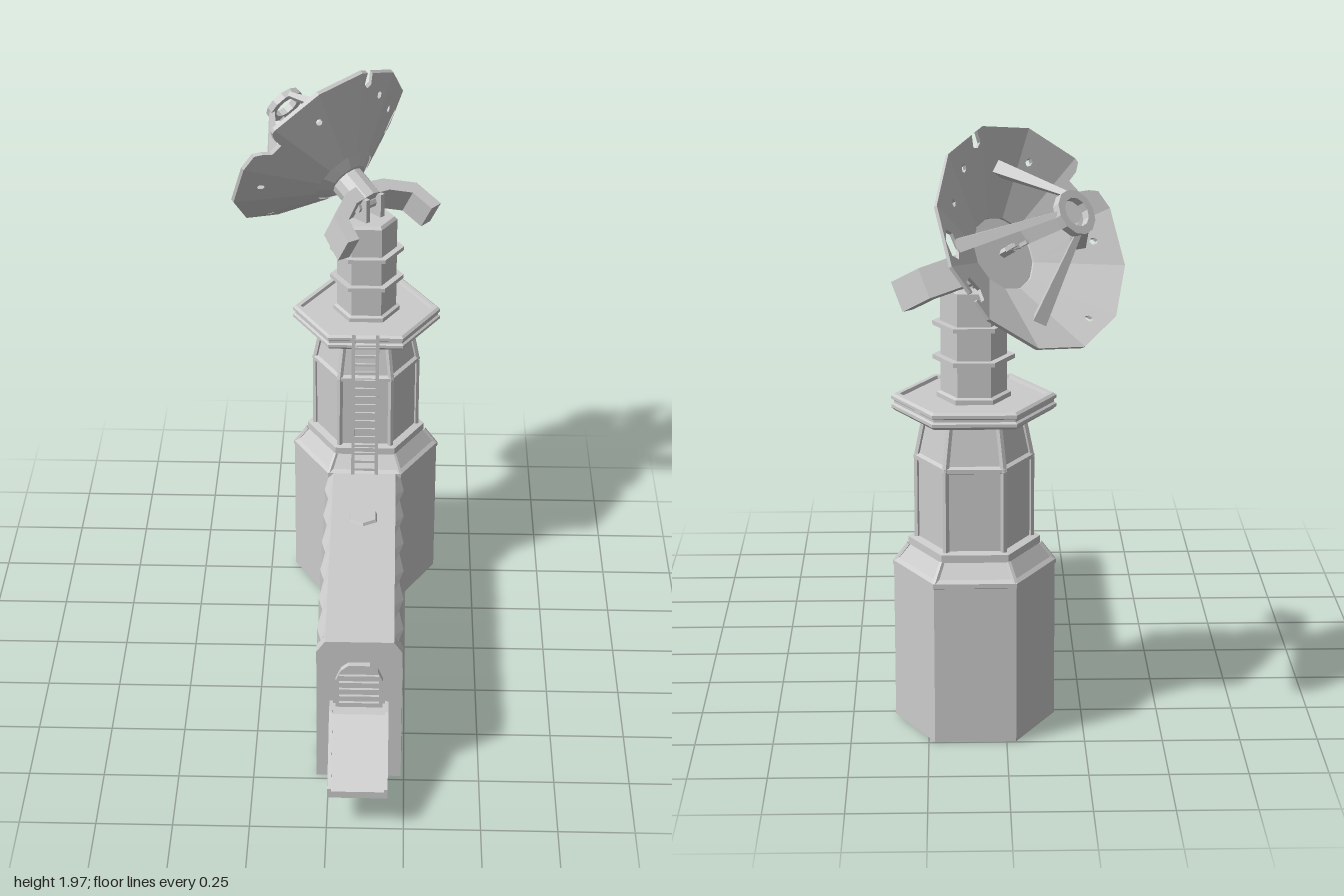
import * as THREE from 'three';

const mat = new THREE.MeshStandardMaterial({ color: 0xcccccc, flatShading: true, side: THREE.DoubleSide });
const CX = 0.1, CZ = -0.53, T15 = Math.tan(Math.PI / 12);
const V = (x, y, z) => new THREE.Vector3(x, y, z);

function add(parent, name, geo, x = 0, y = 0, z = 0) {
  const m = new THREE.Mesh(geo, mat);
  m.name = name;
  m.position.set(x, y, z);
  parent.add(m);
  return m;
}

// Six-sided solid from [radius, height] pairs, listed upwards
function hexLathe(parent, name, pts) {
  const g = new THREE.LatheGeometry(pts.map(p => new THREE.Vector2(...p)), 6, Math.PI / 6);
  return add(parent, name, g);
}

// Tapered bar between two points
function bar(parent, name, a, b, r0, r1 = r0, sides = 4) {
  const m = add(parent, name, new THREE.CylinderGeometry(r1, r0, a.distanceTo(b), sides));
  m.position.copy(a).lerp(b, 0.5);
  m.quaternion.setFromUnitVectors(V(0, 1, 0), b.clone().sub(a).normalize());
  return m;
}

function polygon(pts) {
  return new THREE.Shape(pts.map(p => new THREE.Vector2(...p)));
}

function extrude(shape, depth) {
  return new THREE.ExtrudeGeometry(shape, { depth, bevelEnabled: false, curveSegments: 6 });
}

// Corrugated bunker lofted from six-point cross-sections
function bunkerGeometry() {
  const section = (z, w, b, e) => [[-w, b], [w, b], [w, e], [0.112, 0.55], [-0.112, 0.55], [-w, e]].map(p => V(p[0], p[1], z));
  const rings = [section(0.73, 0.14, 0.005, 0.51), section(0.69, 0.14, 0.005, 0.51)];
  for (let i = 0; i <= 12; i++) {
    const out = i % 2;
    rings.push(section(0.69 - i * 0.085, out ? 0.142 : 0.127, out ? 0.005 : 0.03, out ? 0.515 : 0.53));
  }
  const pos = [];
  const tri = (...vs) => vs.forEach(v => pos.push(v.x, v.y, v.z));
  for (let i = 0; i < rings.length - 1; i++) {
    for (let j = 0; j < 6; j++) {
      const k = (j + 1) % 6, a = rings[i], b = rings[i + 1];
      tri(a[j], b[j], a[k]);
      tri(a[k], b[j], b[k]);
    }
  }
  const f = rings[0], e = rings[rings.length - 1];
  for (let j = 1; j < 5; j++) {
    tri(f[0], f[j], f[j + 1]);
    tri(e[0], e[j + 1], e[j]);
  }
  const g = new THREE.BufferGeometry();
  g.setAttribute('position', new THREE.Float32BufferAttribute(pos, 3));
  g.computeVertexNormals();
  return g;
}

function buildBunker(root) {
  const g = new THREE.Group();
  g.name = 'bunker';
  g.position.x = CX;
  root.add(g);
  add(g, 'corrugatedHall', bunkerGeometry());

  // Arched shutter with slats
  const arch = polygon([[-0.077, 0.15], [0.077, 0.15], [0.077, 0.41], [0.06, 0.45], [0.035, 0.47], [-0.035, 0.47], [-0.06, 0.45], [-0.077, 0.41]]);
  add(g, 'doorFrame', extrude(arch, 0.025), 0, 0, 0.725);
  for (let i = 0; i < 5; i++) add(g, 'doorSlat', new THREE.BoxGeometry(0.13, 0.016, 0.014), 0, 0.32 + i * 0.027, 0.753);

  // Ramp, with a thin kerb on each side
  const ramp = polygon([[0.72, 0.13], [1, 0.13], [1, 0.155], [0.79, 0.305], [0.72, 0.305]]);
  const kerb = polygon([[0.72, 0.13], [1, 0.13], [1, 0.165], [0.79, 0.315], [0.72, 0.315]]);
  add(g, 'ramp', extrude(ramp, 0.17), 0.085).rotation.y = -Math.PI / 2;
  for (const x of [-0.085, 0.097]) add(g, 'rampKerb', extrude(kerb, 0.012), x).rotation.y = -Math.PI / 2;

  // Roof hatch
  add(g, 'roofHatch', new THREE.CylinderGeometry(0.05, 0.056, 0.012, 6), 0, 0.554, -0.01);
}

function buildTower(root) {
  const g = new THREE.Group();
  g.name = 'tower';
  g.position.set(CX, 0, CZ);
  root.add(g);
  hexLathe(g, 'towerBase', [[0, 0.01], [0.26, 0.01], [0.26, 0.545], [0.212, 0.605], [0.212, 0.63], [0.18, 0.635]]);
  hexLathe(g, 'towerShaft', [[0.182, 0.62], [0.182, 0.9], [0.148, 1.06]]);
  hexLathe(g, 'shaftBand', [[0.18, 0.89], [0.193, 0.895], [0.193, 0.908], [0.178, 0.915]]);
  hexLathe(g, 'baseBand', [[0.255, 0.53], [0.264, 0.535], [0.264, 0.55], [0.25, 0.56]]);
  hexLathe(g, 'shaftCollar', [[0.15, 1.03], [0.162, 1.035], [0.162, 1.06]]);
  hexLathe(g, 'deck', [[0, 1.055], [0.25, 1.055], [0.262, 1.065], [0.262, 1.075], [0.254, 1.08], [0.254, 1.088],
    [0.262, 1.093], [0.262, 1.103], [0.252, 1.11], [0.235, 1.11], [0.23, 1.1], [0, 1.1]]);
  hexLathe(g, 'neck', [[0.118, 1.095], [0.118, 1.115], [0.105, 1.12], [0.105, 1.455], [0.095, 1.465], [0, 1.465]]);
  for (const y of [1.225, 1.335]) hexLathe(g, 'neckRing', [[0.1, y], [0.13, y], [0.13, y + 0.014], [0.1, y + 0.014]]);

  // Ribs down the six corners
  for (let i = 0; i < 6; i++) {
    const c = Math.cos(i * Math.PI / 3), s = Math.sin(i * Math.PI / 3);
    const at = (r, y) => V(r * c, y, r * s);
    bar(g, 'shaftRib', at(0.182, 0.62), at(0.182, 0.9), 0.012, 0.012, 6);
    bar(g, 'shaftRib', at(0.182, 0.9), at(0.15, 1.06), 0.012, 0.012, 6);
    bar(g, 'baseRib', at(0.255, 0.545), at(0.21, 0.605), 0.01, 0.01, 6);
  }

  // Ladder up to the deck
  for (const x of [-0.042, 0.042]) add(g, 'ladderRail', new THREE.BoxGeometry(0.012, 0.57, 0.01), x, 0.835, 0.23);
  for (let i = 0; i < 17; i++) add(g, 'ladderRung', new THREE.BoxGeometry(0.08, 0.009, 0.008), 0, 0.57 + i * 0.033, 0.23);
}

// Cuts in the dish, keyed by facet: rim cuts and holes as [radial, sideways] points
const RIM = 0.37 * Math.cos(Math.PI / 12), INNER = 0.12 * Math.cos(Math.PI / 12);
const rimCuts = {
  0: [[0, -0.03], [-0.02, -0.01], [-0.045, 0.005], [-0.05, 0.05], [-0.02, 0.06], [0, 0.08]],
  3: [[0, -0.065], [-0.035, -0.07], [-0.045, -0.05], [-0.035, -0.03], [0, -0.035]],
  6: [[0, 0], [-0.02, 0.005], [-0.03, -0.03], [-0.08, -0.03], [-0.1, 0.02], [-0.07, 0.05], [-0.03, 0.045], [-0.02, 0.03], [0, 0.03]],
};
const holes = { 5: [0.305, 0.015, 0.048], 4: [0.27, 0.01, 0.012], 3: [0.29, 0.035, 0.012], 1: [0.28, 0.04, 0.012], 11: [0.29, 0, 0.012], 9: [0.31, 0.02, 0.012] };

function facetGeometry(i) {
  const cut = (rimCuts[i] || []).map(([u, v]) => [RIM + u, v]);
  const s = polygon([[INNER, -INNER * T15], [RIM, -RIM * T15], ...cut, [RIM, RIM * T15], [INNER, INNER * T15]]);
  if (holes[i]) {
    const [u, v, r] = holes[i], h = new THREE.Path();
    for (let k = 0; k < 6; k++) {
      const a = -k * Math.PI / 3;
      h[k ? 'lineTo' : 'moveTo'](u + r * Math.cos(a), v + r * Math.sin(a));
    }
    h.closePath();
    s.holes.push(h);
  }
  const g = extrude(s, 0.014), p = g.attributes.position;
  // Tilt the flat facet into the bowl
  for (let k = 0; k < p.count; k++) p.setZ(k, p.getZ(k) + 0.138 + (p.getX(k) - INNER) * 0.6);
  g.computeVertexNormals();
  return g;
}

function buildDish(root) {
  const g = new THREE.Group();
  g.name = 'dishAssembly';
  g.position.set(CX, 1.51, CZ);
  g.lookAt(CX - 0.612, 2.01, CZ - 0.612);
  root.add(g);

  // Twelve-sided bowl
  for (let i = 0; i < 12; i++) add(g, 'dishFacet', facetGeometry(i)).rotation.z = (20 + 30 * i) * Math.PI / 180;
  const cap = add(g, 'dishCentre', new THREE.CylinderGeometry(0.121, 0.075, 0.03, 12), 0, 0, 0.13);
  cap.rotation.set(Math.PI / 2, Math.PI / 12, 0);
  bar(g, 'dishHub', V(0, 0, 0.0), V(0, 0, 0.13), 0.062, 0.062, 12);

  // Receiver in the middle of the bowl
  bar(g, 'receiverStem', V(0, 0, 0.14), V(0, 0, 0.2), 0.014);
  add(g, 'receiverBar', new THREE.BoxGeometry(0.06, 0.014, 0.014), 0, 0, 0.2);
  for (const x of [-0.025, 0.025]) add(g, 'receiverProng', new THREE.BoxGeometry(0.012, 0.012, 0.04), x, 0, 0.22);

  // Feed ring held by four tapered struts
  const ring = new THREE.Shape().absarc(0, 0, 0.072, 0, Math.PI * 2);
  ring.holes.push(new THREE.Path().absarc(0, 0, 0.046, 0, Math.PI * 2, true));
  add(g, 'feedRing', extrude(ring, 0.025), 0, 0, 0.475);
  for (let i = 0; i < 4; i++) {
    const a = (-9 + 90 * i) * Math.PI / 180, c = Math.cos(a), s = Math.sin(a);
    bar(g, 'feedStrut', V(0.25 * c, 0.25 * s, 0.225), V(0.06 * c, 0.06 * s, 0.485), 0.03, 0.012);
  }

  // Bent counterweight arms reaching back on both sides
  const half = [[0, 0.06], [0.09, 0.045], [0.2, -0.02], [0.225, -0.13], [0.175, -0.135], [0.155, -0.05], [0.08, -0.005], [0, 0.005]];
  for (const side of [1, -1]) {
    const arm = add(g, 'counterweightArm', extrude(polygon(half.map(([x, z]) => [x * side, z])), 0.1), 0, 0.05, 0);
    arm.rotation.x = Math.PI / 2;
  }

  // Yoke on top of the neck
  const yoke = new THREE.Group();
  yoke.name = 'yoke';
  yoke.position.set(CX, 1.5, CZ);
  yoke.rotation.y = Math.PI / 4;
  root.add(yoke);
  for (const x of [-0.035, 0.035]) add(yoke, 'yokePlate', new THREE.BoxGeometry(0.018, 0.1, 0.08), x, 0, 0);
  bar(yoke, 'yokePin', V(-0.055, 0.015, 0), V(0.055, 0.015, 0), 0.02, 0.02, 8);
}

export function createModel() {
  const root = new THREE.Group();
  root.name = 'radarStation';
  buildBunker(root);
  buildTower(root);
  buildDish(root);
  return root;
}
